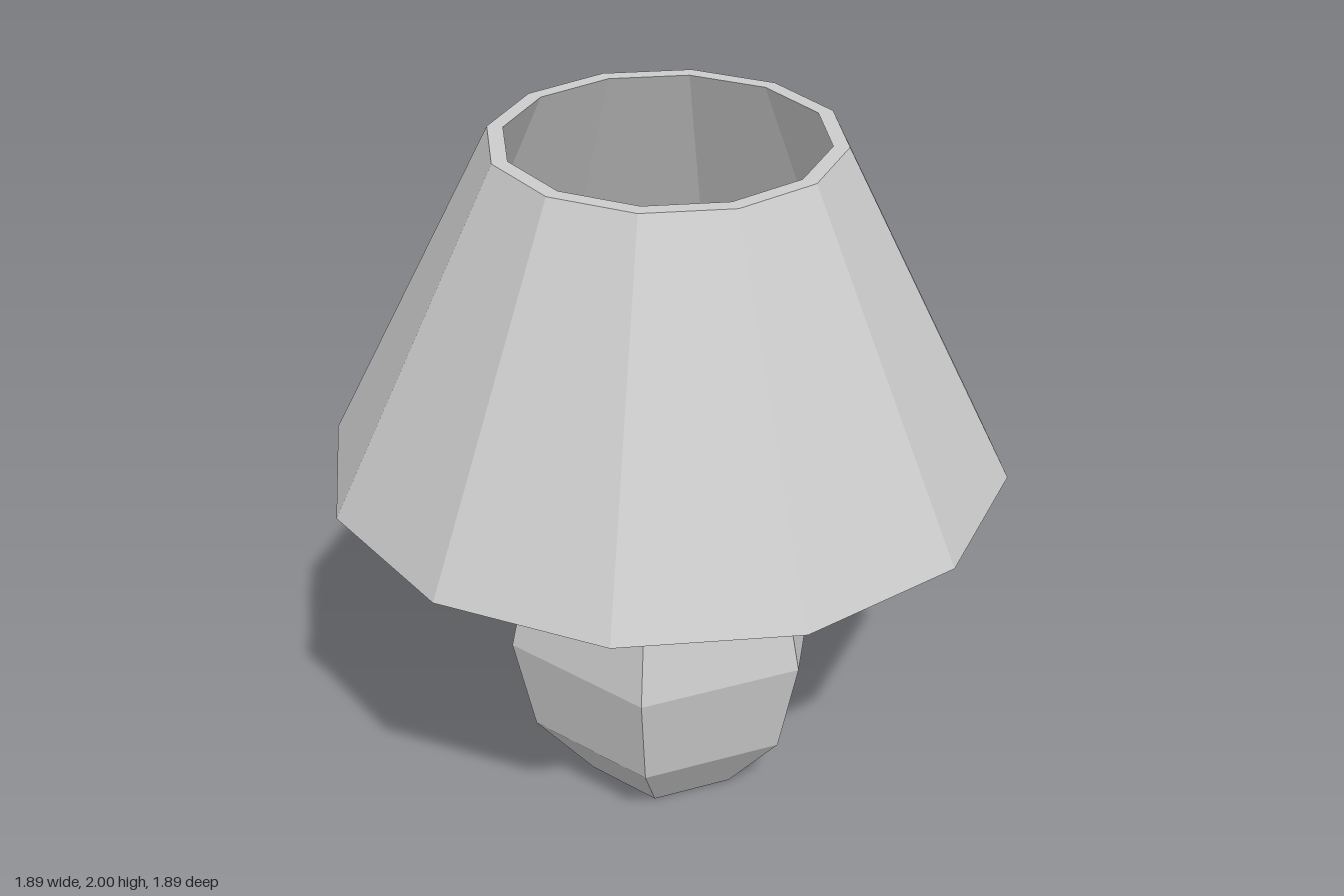
import * as THREE from 'three';

const material = new THREE.MeshStandardMaterial({ color: 0xcccccc, flatShading: true });

// Faceted turned part; the profile [radius, height] runs upwards on the outside
function turned(name, sides, profile) {
  const points = profile.map(([r, y]) => new THREE.Vector2(r, y));
  const mesh = new THREE.Mesh(new THREE.LatheGeometry(points, sides, Math.PI / 2), material);
  mesh.name = name;
  return mesh;
}

// Profile of a stretched sphere between two latitudes, in 30 degree steps
function ballProfile(radius, stretch, centreY, from, to) {
  const profile = [];
  for (let a = from; a <= to; a += 30) {
    const t = THREE.MathUtils.degToRad(a);
    profile.push([Math.max(0, radius * Math.cos(t)), centreY + radius * stretch * Math.sin(t)]);
  }
  return profile;
}

export function createModel() {
  const lamp = new THREE.Group();
  lamp.name = 'tableLamp';

  // Six-sided body, cut flat and capped at both ends
  const body = ballProfile(0.473, 1.257, 0.515, -60, 60);
  lamp.add(turned('base', 6, [[0, 0], ...body, [0, body[body.length - 1][1]]]));

  // Neck and bulb
  lamp.add(turned('neck', 6, [[0.095, 1.03], [0.095, 1.355]]));
  lamp.add(turned('bulb', 6, ballProfile(0.19, 1, 1.52, -90, 90)));

  // Hollow shade with flat rims, open above and below
  lamp.add(turned('shade', 12, [
    [0.945, 1.055], [0.473, 2], [0.43, 2], [0.897, 1.055], [0.945, 1.055],
  ]));

  return lamp;
}
